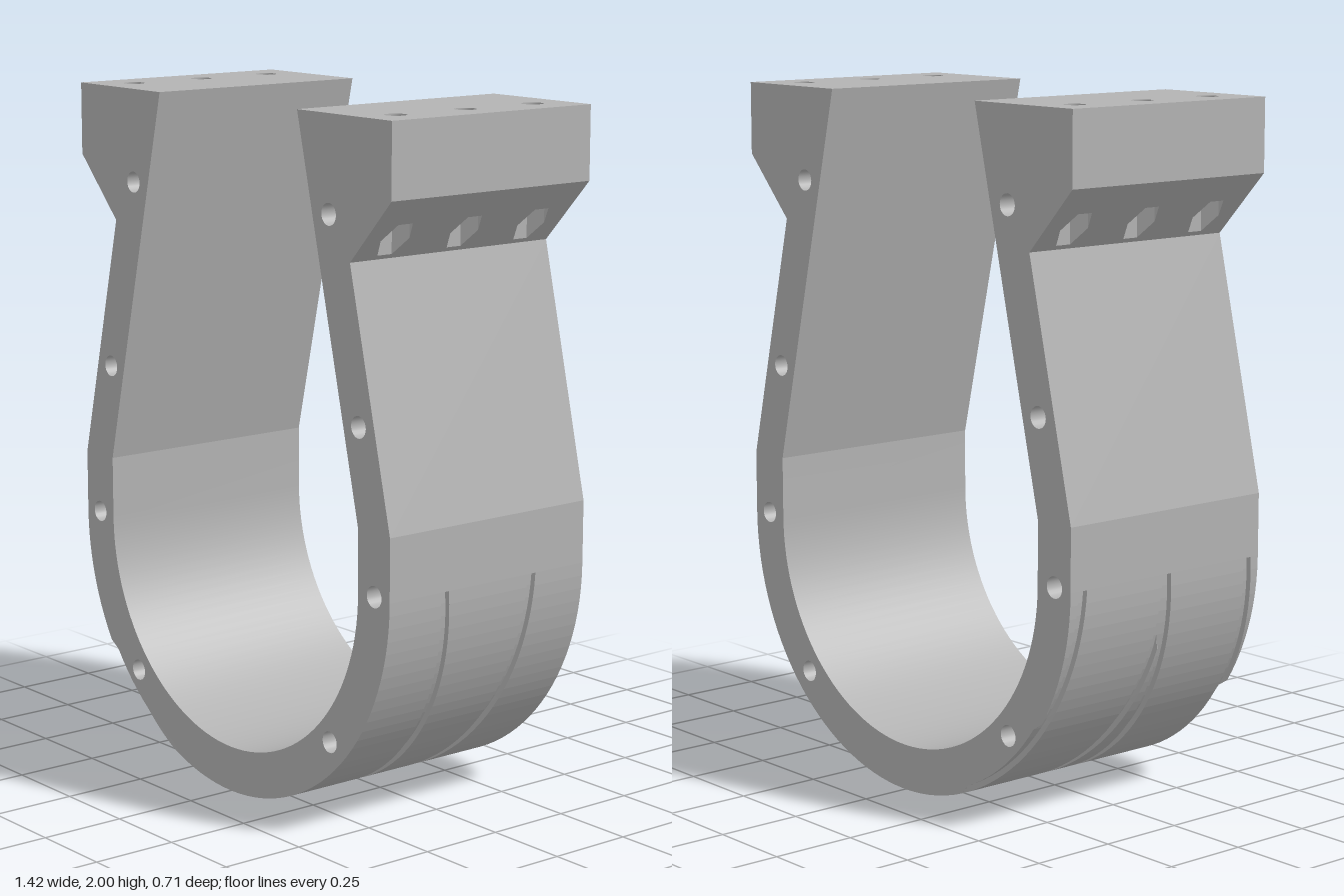
import * as THREE from 'three';
import { toCreasedNormals } from 'three/addons/utils/BufferGeometryUtils.js';

const W = 0.355;            // half depth
const R = 0.71, CY = 0.71;  // outer bend
const RI = 0.577;           // inner bend
const N = 60;               // bend segments
const GROOVE = 0.016, HALF = 0.015;
const HOLE = 0.031, HEX = 0.05, BOLT_X = 0.595;
const BOLT_Z = [-0.245, 0, 0.245];

const bend = (s, r) => [-r * Math.cos(s * Math.PI), CY - r * Math.sin(s * Math.PI)];
const slopeY = (x) => 1.61 + (x - 0.54) * (0.18 / 0.17);

// Geometry from a list of four-cornered faces
function quads(list) {
  const pos = [];
  for (const [a, b, c, d] of list) pos.push(...a, ...b, ...c, ...a, ...c, ...d);
  const g = new THREE.BufferGeometry();
  g.setAttribute('position', new THREE.Float32BufferAttribute(pos, 3));
  g.computeVertexNormals();
  return g;
}

// Walls that follow an open line across the full depth
function walls(pts) {
  const list = [];
  for (let i = 0; i + 1 < pts.length; i++) {
    const p = pts[i], q = pts[i + 1];
    list.push([[...p, W], [...p, -W], [...q, -W], [...q, W]]);
  }
  return quads(list);
}

// Half cross-section of the bend (z, radius) with two slanting grooves
function section(s, cut) {
  const d = cut ? GROOVE : 0;
  const c1 = 0.16 * s, c2 = 0.31 + 0.16 * s;
  const a1 = Math.max(0, c1 - HALF), b1 = c1 + HALF;
  const a2 = Math.min(W, c2 - HALF), b2 = Math.min(W, c2 + HALF);
  const r1 = a1 === 0 ? R - d : R;
  const floor2 = a2 < W ? R - d : R;
  const r2 = b2 === W ? floor2 : R;
  return [[0, r1], [a1, r1], [a1, R - d], [b1, R - d], [b1, R],
    [a2, R], [a2, floor2], [b2, floor2], [b2, r2], [W, r2]];
}

function groovedBend() {
  const rows = [[0, false]];
  for (let i = 0; i <= N; i++) rows.push([i / N, true]);
  rows.push([1, false]);
  const list = [];
  for (const side of [1, -1]) {
    const grid = rows.map(([s, cut]) =>
      section(s, cut).map(([z, r]) => [...bend(s, r), z * side]));
    for (let i = 0; i + 1 < grid.length; i++) {
      for (let j = 0; j + 1 < grid[i].length; j++) {
        const q = [grid[i][j + 1], grid[i][j], grid[i + 1][j], grid[i + 1][j + 1]];
        list.push(side > 0 ? q : q.reverse());
      }
    }
  }
  return quads(list);
}

// Rectangle in plan with three holes, lifted to a height rule
function plate(x0, x1, addHole, height, flip) {
  const shape = new THREE.Shape([[x0, -W], [x1, -W], [x1, W], [x0, W]]
    .map((p) => new THREE.Vector2(...p)));
  BOLT_Z.forEach((z) => shape.holes.push(addHole(z)));
  const g = new THREE.ShapeGeometry(shape, 12);
  const p = g.attributes.position;
  for (let i = 0; i < p.count; i++) {
    const x = p.getX(i), z = p.getY(i);
    p.setXYZ(i, x, height(x), z * flip);
  }
  g.computeVertexNormals();
  return g;
}

const hexPoint = (k, z) => {
  const a = (k * Math.PI) / 3;
  return [BOLT_X + HEX * Math.sin(a), z + HEX * Math.cos(a)];
};
const circle = (x, y) => new THREE.Path().absarc(x, y, HOLE, 0, Math.PI * 2, true);

export function createModel() {
  const model = new THREE.Group();
  model.name = 'horseshoeClamp';
  const grey = new THREE.MeshStandardMaterial({ color: 0xb3b3b3, side: THREE.DoubleSide });
  grey.name = 'plainGrey';
  const add = (parent, name, geometry) => {
    const m = new THREE.Mesh(geometry, grey);
    m.name = name;
    parent.add(m);
    return m;
  };

  // Front and back faces with side holes
  const outer = [], inner = [];
  for (let i = 0; i <= N; i++) {
    outer.push(bend(i / N, section(i / N, true)[9][1]));
    inner.push(bend(1 - i / N, RI));
  }
  const outline = [...outer, [0.71, 0.89], [0.54, 1.61], [0.71, 1.79], [0.71, 2], [0.315, 2],
    [0.577, 0.89], ...inner, [-0.577, 0.89], [-0.315, 2], [-0.71, 2], [-0.71, 1.79],
    [-0.54, 1.61], [-0.71, 0.89]];
  const face = new THREE.Shape(outline.map((p) => new THREE.Vector2(...p)));
  const sideHoles = [];
  for (const m of [1, -1]) {
    for (const [x, y] of [[0.45, 1.73], [0.577, 1.17], [0.645, 0.715], [0.455, 0.26]]) {
      sideHoles.push([x * m, y]);
      face.holes.push(circle(x * m, y));
    }
  }
  const faceGeometry = new THREE.ShapeGeometry(face, 12);
  add(model, 'frontFace', faceGeometry).position.z = W;
  const backFace = add(model, 'backFace', faceGeometry);
  backFace.rotation.y = Math.PI;
  backFace.scale.x = -1;
  backFace.position.z = -W;

  // Bores of the side holes
  const bore = new THREE.CylinderGeometry(HOLE, HOLE, 2 * W, 24, 1, true).rotateX(Math.PI / 2);
  sideHoles.forEach(([x, y]) => add(model, 'sideHoleBore', bore).position.set(x, y, 0));

  // Curved band and inner lining
  add(model, 'groovedBend', groovedBend());
  add(model, 'innerLining', toCreasedNormals(
    walls([[0.315, 2], [0.577, 0.89], ...inner, [-0.577, 0.89], [-0.315, 2]]), 0.15));

  // Each arm carries a flange with bolt holes and nut pockets
  const ceiling = 1.78;
  for (const [name, turn] of [['leftArm', 0], ['rightArm', Math.PI]]) {
    const arm = new THREE.Group();
    arm.name = name;
    arm.rotation.y = turn;
    model.add(arm);
    add(arm, 'armOutside', walls([[0.71, 0.71], [0.71, 0.89], [0.54, 1.61]]));
    add(arm, 'flangeSide', walls([[0.71, 1.79], [0.71, 2]]));
    add(arm, 'flangeTop', plate(0.315, 0.71, (z) => circle(BOLT_X, z), () => 2, -1));
    add(arm, 'flangeSlope', plate(0.54, 0.71, (z) => new THREE.Path(
      [0, 1, 2, 3, 4, 5].map((k) => new THREE.Vector2(...hexPoint(k, z)))), slopeY, 1));
    for (const z of BOLT_Z) {
      const sides = [], rim = [];
      for (let k = 0; k < 6; k++) {
        const [x0, z0] = hexPoint(k, z), [x1, z1] = hexPoint(k + 1, z);
        sides.push([[x0, slopeY(x0), z0], [x0, ceiling, z0],
          [x1, ceiling, z1], [x1, slopeY(x1), z1]]);
        rim.push(new THREE.Vector2(x0, z0));
      }
      add(arm, 'nutPocket', quads(sides));
      add(arm, 'nutPocketEnd', new THREE.ShapeGeometry(new THREE.Shape(rim)).rotateX(Math.PI / 2))
        .position.y = ceiling;
      add(arm, 'boltHole', new THREE.CylinderGeometry(HOLE, HOLE, 2 - ceiling, 24, 1, true))
        .position.set(BOLT_X, (2 + ceiling) / 2, z);
    }
  }
  return model;
}
